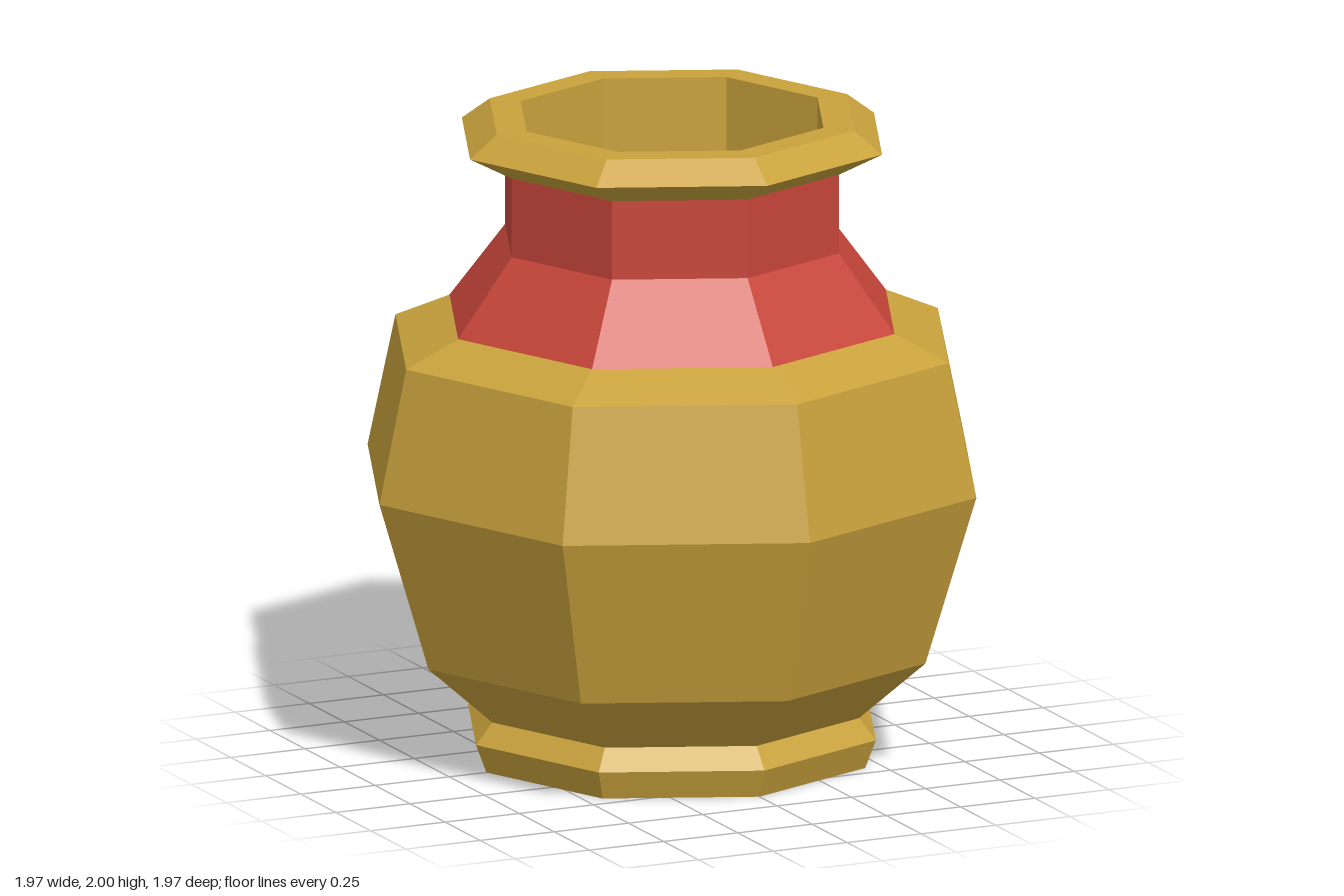
import * as THREE from 'three';

const SIDES = 8;
const gold = new THREE.MeshStandardMaterial({ color: 0xc9a23c, flatShading: true });
const red = new THREE.MeshStandardMaterial({ color: 0xc8463a, flatShading: true });

// Eight-sided ring section turned from [radius, height] pairs, with hard facets
function turned(name, profile, material) {
  const points = profile.map(([r, y]) => new THREE.Vector2(r, y));
  const geometry = new THREE.LatheGeometry(points, SIDES).toNonIndexed();
  geometry.computeVertexNormals();
  const mesh = new THREE.Mesh(geometry, material);
  mesh.name = name;
  return mesh;
}

export function createModel() {
  const vase = new THREE.Group();
  vase.name = 'vase';
  vase.add(
    // Foot with closed underside
    turned('foot', [[0, 0], [0.625, 0], [0.66, 0.09], [0.605, 0.155]], gold),
    // Round belly up to the shoulder
    turned('belly', [[0.605, 0.155], [0.82, 0.345], [0.985, 0.88], [0.895, 1.295], [0.72, 1.372]], gold),
    // Painted neck
    turned('neck', [[0.72, 1.372], [0.54, 1.61], [0.54, 1.857]], red),
    // Flared lip
    turned('lip', [[0.54, 1.857], [0.68, 1.932], [0.59, 2], [0.49, 2]], gold),
    // Hollow inside with flat floor
    turned('interior', [[0.49, 2], [0.49, 0.16], [0, 0.16]], gold),
  );
  return vase;
}
